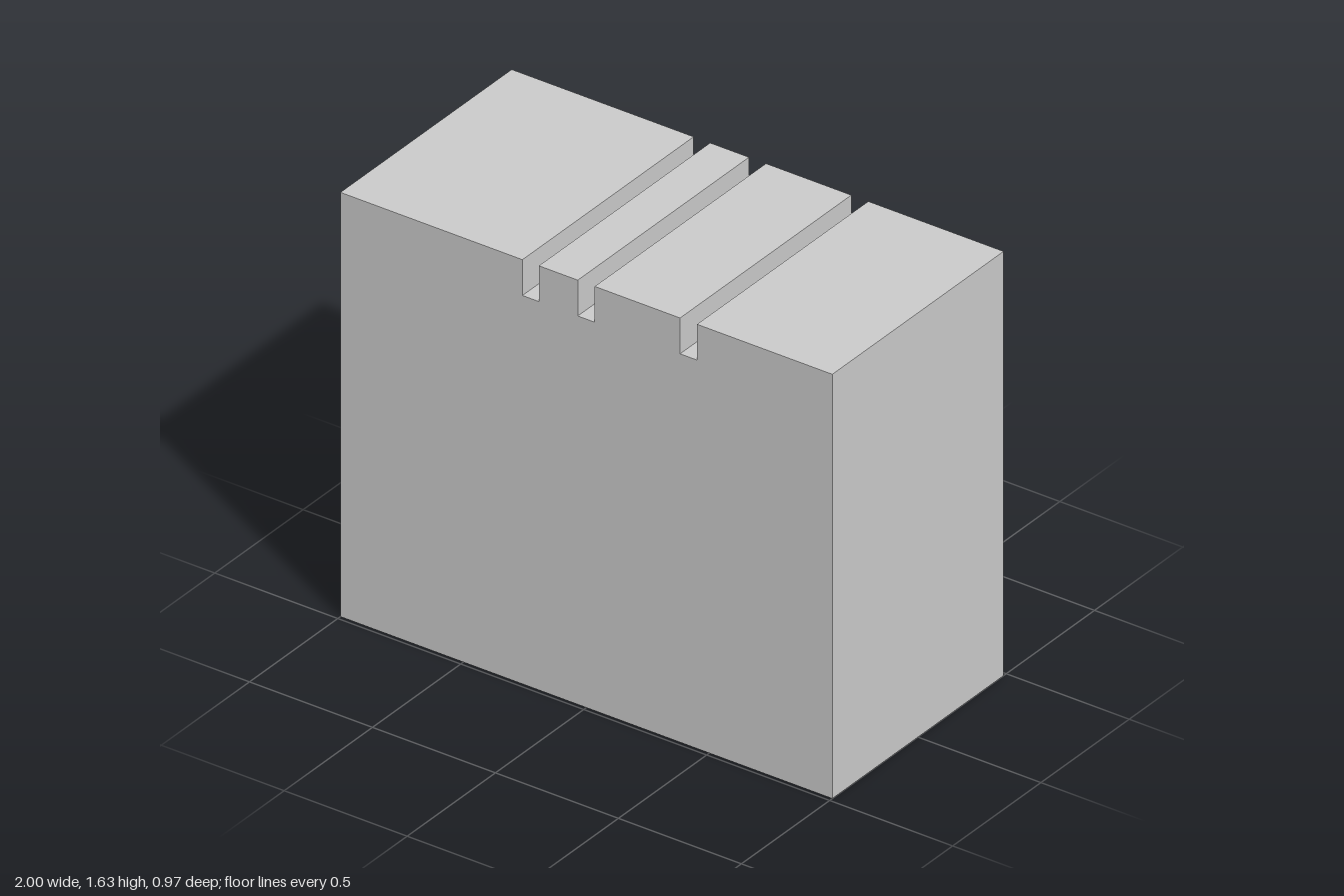
import * as THREE from 'three';

const HEIGHT = 1.635, HALF_DEPTH = 0.485, CUT = 0.138;
const GROOVES = [[-0.26, -0.193], [-0.035, 0.034], [0.381, 0.45]];

export function createModel() {
  const f = HALF_DEPTH, b = -HALF_DEPTH, bi = b + CUT;
  const H = HEIGHT, h = HEIGHT - CUT;
  const positions = [];

  const quad = (p, q, r, s) => positions.push(...p, ...q, ...r, ...p, ...r, ...s);

  // Side section [z, y] swept between two x positions
  const section = (x0, x1, front, top, back) => {
    const loop = [[front, 0], [front, top], [back, top], [back, 0]];
    loop.forEach(([z, y], i) => {
      const [z2, y2] = loop[(i + 1) % 4];
      quad([x0, y, z], [x1, y, z], [x1, y2, z2], [x0, y2, z2]);
    });
  };

  // Flat wall across x, facing +x or -x
  const wall = (x, facing, corners) => {
    const c = corners.map(([z, y]) => [x, y, z]);
    quad(...(facing > 0 ? c : c.reverse()));
  };

  // Full-size stretches between the grooves
  const edges = [-1, ...GROOVES.flat(), 1];
  for (let i = 0; i < edges.length; i += 2) section(edges[i], edges[i + 1], f, H, b);

  // Grooves running over the top and down the back, with L-shaped side walls
  const topWall = [[bi, h], [b, H], [f, H], [f, h]];
  const backWall = [[bi, 0], [b, 0], [b, H], [bi, h]];
  for (const [x0, x1] of GROOVES) {
    section(x0, x1, f, h, bi);
    for (const corners of [topWall, backWall]) {
      wall(x0, 1, corners);
      wall(x1, -1, corners);
    }
  }

  // Ends of the block
  const end = [[f, 0], [b, 0], [b, H], [f, H]];
  wall(1, 1, end);
  wall(-1, -1, end);

  const geometry = new THREE.BufferGeometry();
  geometry.setAttribute('position', new THREE.Float32BufferAttribute(positions, 3));
  geometry.computeVertexNormals();

  const block = new THREE.Mesh(
    geometry,
    new THREE.MeshStandardMaterial({ color: 0xcccccc, flatShading: true })
  );
  block.name = 'groovedBlock';

  const group = new THREE.Group();
  group.name = 'groovedBlockModel';
  group.add(block);
  return group;
}
